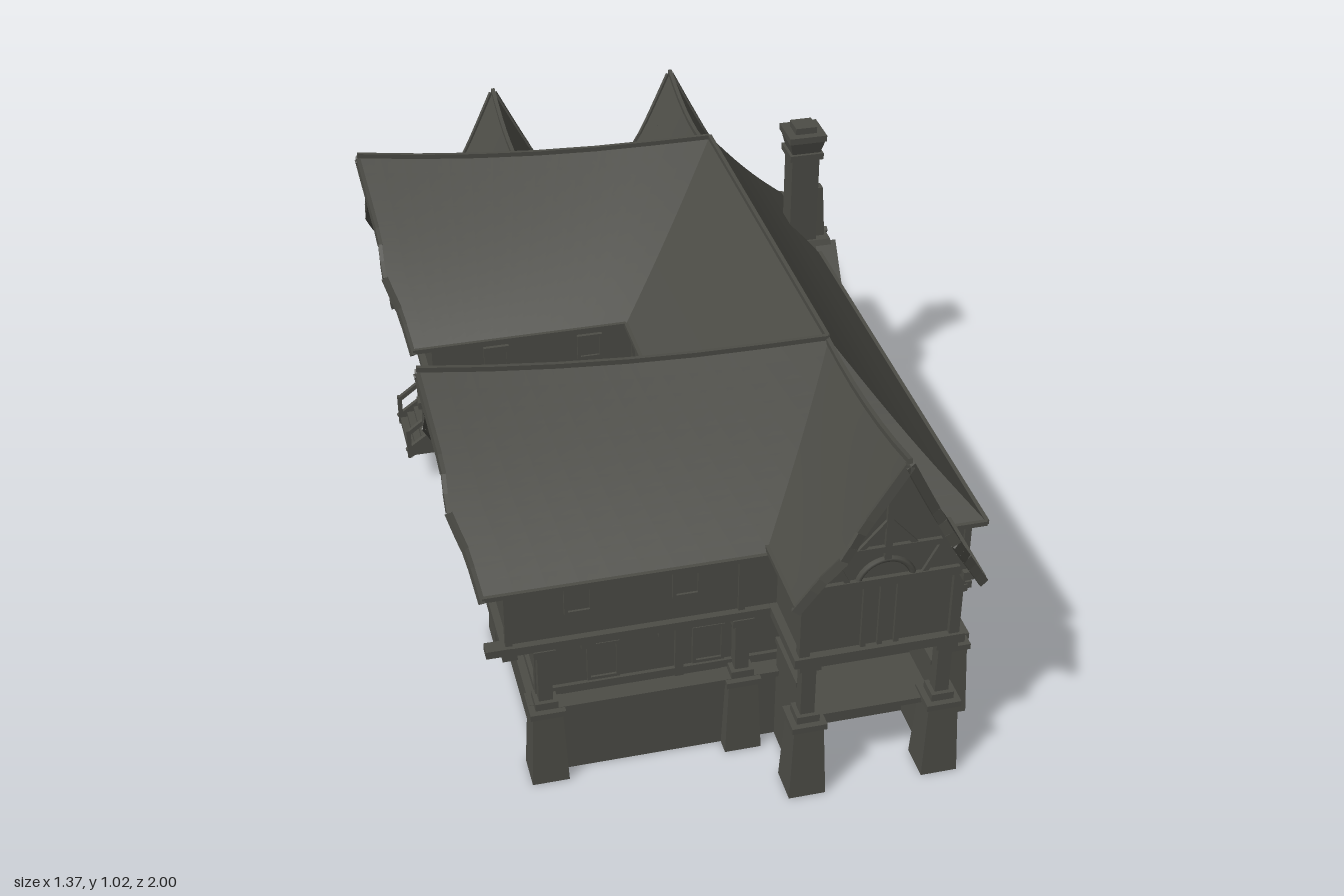
import * as THREE from 'three';

const V = (x, y, z) => new THREE.Vector3(x, y, z);
const lerp = THREE.MathUtils.lerp;

export function createModel() {
  const model = new THREE.Group();
  model.name = 'timberHouse';
  const stone = new THREE.MeshStandardMaterial({ color: 0x4c4c46 });
  stone.name = 'greyWall';
  // Same grey for open shells and thin roof sheets
  const shell = new THREE.MeshStandardMaterial({ color: 0x4c4c46, side: THREE.DoubleSide });
  shell.name = 'greyShell';

  const add = (name, geo, parent = model, mat = stone) => {
    const m = new THREE.Mesh(geo, mat);
    m.name = name;
    parent.add(m);
    return m;
  };
  const box = (name, x, y, z, w, h, d, parent = model) => {
    const m = add(name, new THREE.BoxGeometry(w, h, d), parent);
    m.position.set(x, y, z);
    return m;
  };
  // Square timber running between two points
  const beam = (name, a, b, w, h = w, parent = model) => {
    const m = new THREE.Mesh(new THREE.BoxGeometry(w, h, a.distanceTo(b)), stone);
    m.name = name;
    m.position.copy(a).lerp(b, 0.5);
    m.lookAt(b);
    parent.add(m);
    return m;
  };
  // Box narrowing towards its top
  const taper = (name, x, y, z, w, h, d, kx, kz) => {
    const g = new THREE.BoxGeometry(w, h, d), p = g.attributes.position;
    for (let i = 0; i < p.count; i++) {
      if (p.getY(i) > 0) p.setXYZ(i, p.getX(i) * kx, p.getY(i), p.getZ(i) * kz);
    }
    g.computeVertexNormals();
    const m = add(name, g);
    m.position.set(x, y + h / 2, z);
    return m;
  };

  // U-shaped footprints: left (front and back wing), right, front, back, courtyard sides
  const plan = (L, LB, R, F, B, ix, fi, bi) =>
    [[L, F], [R, F], [R, B], [LB, B], [LB, bi], [ix, bi], [ix, fi], [L, fi]];
  const plinth = plan(-0.48, -0.49, 0.57, 0.69, -0.91, 0.0, 0.16, -0.375);
  const lower = plan(-0.475, -0.36, 0.54, 0.665, -0.885, 0.02, 0.185, -0.4);
  const upper = plan(-0.545, -0.545, 0.56, 0.69, -0.9, 0.0, 0.15, -0.365);

  // Hollow walls without floor or ceiling
  const walls = (name, loop, y0, y1) => {
    const pos = [];
    loop.forEach(([x, z], i) => {
      const [a, b] = loop[(i + 1) % loop.length];
      pos.push(x, y0, z, a, y0, b, a, y1, b, x, y0, z, a, y1, b, x, y1, z);
    });
    const g = new THREE.BufferGeometry();
    g.setAttribute('position', new THREE.Float32BufferAttribute(pos, 3));
    g.computeVertexNormals();
    add(name, g, model, shell);
  };
  const band = (name, loop, y, w, h) => loop.forEach(([x, z], i) => {
    const [a, b] = loop[(i + 1) % loop.length];
    beam(name, V(x, y, z), V(a, y, b), w, h);
  });
  walls('plinth', plinth, 0, 0.21);
  walls('lowerWalls', lower, 0.2, 0.4);
  const g = new THREE.ExtrudeGeometry(new THREE.Shape(upper.map(p => new THREE.Vector2(...p))),
    { depth: 0.2, bevelEnabled: false });
  add('upperWalls', g.rotateX(Math.PI / 2)).position.y = 0.595;
  band('plinthLedge', plinth, 0.208, 0.045, 0.016);
  band('sillBeam', lower, 0.235, 0.02, 0.02);
  band('headBeam', lower, 0.375, 0.02, 0.016);
  band('jettyBeam', upper, 0.4, 0.035, 0.022);
  band('wallPlate', upper, 0.58, 0.02, 0.02);
  // Jetty beams running out past the wing ends
  for (const z of [-0.9, -0.365, 0.15, 0.69]) box('jettyEnd', -0.57, 0.402, z, 0.06, 0.02, 0.035);

  // Studs and joist ends at regular steps along both storeys
  const studs = (name, loop, y0, y1, step, w) => loop.forEach(([x, z], i) => {
    const [a, b] = loop[(i + 1) % loop.length];
    const n = Math.max(1, Math.round(Math.hypot(a - x, b - z) / step));
    for (let k = 0; k < n; k++) {
      const px = lerp(x, a, k / n), pz = lerp(z, b, k / n);
      box(name, px, (y0 + y1) / 2, pz, w, y1 - y0, w);
    }
  });
  studs('lowerStud', lower, 0.22, 0.39, 0.34, 0.02);
  studs('upperStud', upper, 0.41, 0.58, 0.55, 0.016);
  studs('joistEnd', upper, 0.376, 0.395, 0.18, 0.035);

  // Stone piers with capped posts
  const pier = (x, z) => {
    taper('pier', x, 0, z, 0.09, 0.2, 0.09, 0.8, 0.8);
    box('pierCap', x, 0.207, z, 0.085, 0.016, 0.085);
    box('postFoot', x, 0.225, z, 0.055, 0.02, 0.055);
    box('post', x, 0.305, z, 0.034, 0.16, 0.034);
    box('postHead', x, 0.38, z, 0.052, 0.02, 0.052);
  };
  [[-0.465, 0.685], [0.01, 0.685], [0.54, 0.685], [0.55, 0.195], [0.55, -0.405], [0.55, -0.89],
    [0.02, -0.89], [-0.465, -0.89], [-0.465, -0.39], [-0.465, 0.17], [0.115, 0.875], [0.445, 0.875]]
    .forEach(p => pier(...p));

  // Open veranda at the end of the back wing
  box('verandaFloor', -0.425, 0.2, -0.642, 0.13, 0.015, 0.53);
  for (const z of [-0.89, -0.39]) {
    box('verandaRail', -0.41, 0.3, z, 0.1, 0.014, 0.014);
    box('verandaRail', -0.41, 0.255, z, 0.1, 0.01, 0.01);
  }
  for (const z of [-0.81, -0.475]) {
    box('verandaRail', -0.465, 0.3, z, 0.014, 0.014, 0.14);
    for (const o of [-0.04, 0, 0.04]) box('baluster', -0.465, 0.255, z + o, 0.01, 0.09, 0.01);
  }

  // Front porch with a room above
  for (const x of [0.115, 0.445]) {
    box('porchWall', x, 0.15, 0.775, 0.03, 0.3, 0.17);
    box('porchRail', x, 0.298, 0.775, 0.04, 0.014, 0.17);
    box('porchRoomPost', x < 0.28 ? 0.1 : 0.46, 0.5, 0.885, 0.025, 0.2, 0.025);
    box('porchPurlin', x < 0.28 ? 0.09 : 0.47, 0.598, 0.83, 0.025, 0.022, 0.19);
  }
  box('porchFloor', 0.28, 0.2, 0.775, 0.33, 0.015, 0.2);
  box('porchRoom', 0.28, 0.5, 0.785, 0.37, 0.21, 0.2);
  box('porchJetty', 0.28, 0.4, 0.8, 0.41, 0.025, 0.21);
  box('porchDoor', 0.28, 0.3, 0.667, 0.13, 0.17, 0.012);
  for (const o of [-0.04, 0, 0.04]) box('porchWindowPost', 0.28 + o, 0.5, 0.888, 0.012, 0.18, 0.012);

  // Framed windows; ry turns the frame to its wall
  const windowAt = (x, y, z, ry, w = 0.06, h = 0.065) => {
    const f = new THREE.Group();
    f.name = 'window';
    f.position.set(x, y, z);
    f.rotation.y = ry;
    box('pane', 0, 0, 0, w, h, 0.008, f);
    for (const s of [-1, 1]) {
      box('frameSide', s * w / 2, 0, 0.003, 0.008, h, 0.014, f);
      box('frameEdge', 0, s * h / 2, 0.003, w + 0.008, 0.008, 0.014, f);
    }
    model.add(f);
  };
  const q = Math.PI / 2;
  for (const z of [0.545, 0.42, 0.3, 0.06, -0.27, -0.435, -0.81]) windowAt(0.56, 0.515, z, q);
  windowAt(0.56, 0.515, -0.1, q, 0.12);
  for (const x of [-0.38, -0.125]) {
    windowAt(x, 0.515, 0.69, 0);
    windowAt(x, 0.515, 0.15, 2 * q);
    windowAt(x, 0.515, -0.365, 0);
    windowAt(x + 0.06, 0.305, 0.665, 0, 0.07, 0.1);
  }
  for (const x of [-0.42, -0.256, -0.09, 0.09, 0.256, 0.42]) windowAt(x, 0.515, -0.9, 2 * q);
  for (const z of [0.3, 0.54, -0.52, -0.76]) windowAt(-0.545, 0.515, z, -q);
  for (const z of [-0.25, -0.1, 0.04]) windowAt(0, 0.515, z, -q);
  for (const z of [0.32, 0.52]) windowAt(0.54, 0.305, z, q, 0.07, 0.1);
  box('courtyardDoor', 0.016, 0.295, -0.11, 0.012, 0.16, 0.1);
  box('wingDoor', -0.364, 0.295, -0.642, 0.012, 0.16, 0.1);

  // Roof slope ruled from ridge to eave; a gable end has a ragged lobe in its edge
  const slope = (name, ridge, eave, axis, isGable) => {
    const at = (u, v) => {
      const a = ridge(u), b = eave(u), p = a.clone().lerp(b, v);
      p.y -= 0.012 * Math.sin(Math.PI * v);
      if (isGable) p[axis] += Math.sign(a[axis] - b[axis]) * u ** 12 * 0.015 * Math.exp(-(((v - 0.58) / 0.12) ** 2));
      return p;
    };
    const nu = 16, nv = 12, pos = [], idx = [];
    for (let i = 0; i <= nu; i++) for (let j = 0; j <= nv; j++) {
      pos.push(...at(i / nu, j / nv).toArray());
      const k = i * (nv + 1) + j;
      if (i < nu && j < nv) idx.push(k, k + 1, k + nv + 1, k + 1, k + nv + 2, k + nv + 1);
    }
    const geo = new THREE.BufferGeometry();
    geo.setAttribute('position', new THREE.Float32BufferAttribute(pos, 3));
    geo.setIndex(idx);
    geo.computeVertexNormals();
    add(name, geo, model, shell);
    const low = V(0, -0.011, 0);
    for (let k = 0; k < 12; k++) {
      if (isGable) beam('bargeBoard', at(1, k / 12).add(low), at(1, (k + 1) / 12).add(low), 0.01, 0.022);
      if (k % 2) beam('ridgeTile', ridge((k - 1) / 12), ridge((k + 1) / 12), 0.01, 0.012);
    }
    beam('eaveBoard', eave(0), eave(1), 0.01, 0.012);
  };
  const ridgeY = x => 0.957 + 0.06 * Math.max(0, (0.1 - x) / 0.78) ** 2;
  for (const [zr, zo, zi] of [[-0.642, -0.945, -0.333], [0.425, 0.73, 0.116]]) {
    const ridge = u => { const x = lerp(0.28, -0.678, u); return V(x, ridgeY(x), zr); };
    slope('wingRoofOuter', ridge, u => V(lerp(0.59, -0.605, u), 0.585, zo), 'x', true);
    slope('wingRoofInner', ridge, u => V(lerp(-0.03, -0.605, u), 0.585, zi), 'x', true);
  }
  const spine = u => V(0.28, 0.957, lerp(-0.642, 0.425, u));
  slope('spineRoofOuter', spine, u => V(0.59, 0.585, lerp(-0.945, 0.73, u)), 'z', false);
  slope('spineRoofInner', spine, u => V(-0.03, 0.585, lerp(-0.333, 0.116, u)), 'z', false);
  // Cross gables: porch and two at the back
  for (const [x, z0, z1, ze, half, ey] of [[0.28, 0.425, 0.995, 0.94, 0.22, 0.598],
    [-0.256, -0.642, -0.995, -0.945, 0.21, 0.615], [0.256, -0.642, -0.995, -0.945, 0.21, 0.615]]) {
    const ridge = u => V(x, 0.95 - 0.04 * u + 0.085 * u * u, lerp(z0, z1, u));
    for (const s of [-1, 1]) slope('gableRoof', ridge, u => V(x + s * half, ey, lerp(z0, ze, u)), 'z', true);
  }

  // Timbered gable walls
  const gable = (x, y, z, ry, half, h) => {
    const f = new THREE.Group();
    f.name = 'gableWall';
    f.position.set(x, y, z);
    f.rotation.y = ry;
    const s = new THREE.Shape([new THREE.Vector2(-half, 0), new THREE.Vector2(half, 0), new THREE.Vector2(0, h)]);
    add('gablePanel', new THREE.ExtrudeGeometry(s, { depth: 0.02, bevelEnabled: false }), f);
    beam('tieBeam', V(-half, 0.008, 0.02), V(half, 0.008, 0.02), 0.022, 0.022, f);
    beam('collar', V(-half * 0.72, h * 0.28, 0.022), V(half * 0.72, h * 0.28, 0.022), 0.016, 0.016, f);
    beam('kingPost', V(0, h * 0.2, 0.022), V(0, h * 0.95, 0.022), 0.016, 0.016, f);
    for (const k of [-1, 1]) {
      beam('rafter', V(k * half, 0, 0.022), V(0, h, 0.022), 0.018, 0.018, f);
      beam('brace', V(0, h * 0.5, 0.022), V(k * half * 0.35, h * 0.28, 0.022), 0.012, 0.012, f);
      beam('strut', V(k * half * 0.42, 0, 0.022), V(k * half * 0.68, h * 0.28, 0.022), 0.012, 0.012, f);
    }
    add('arch', new THREE.TorusGeometry(half * 0.34, 0.008, 6, 16, Math.PI), f).position.z = 0.022;
    model.add(f);
  };
  gable(0.28, 0.6, 0.88, 0, 0.195, 0.35);
  for (const x of [-0.256, 0.256]) gable(x, 0.61, -0.9, 2 * q, 0.19, 0.34);
  for (const z of [-0.637, 0.425]) gable(-0.54, 0.59, z, -q, 0.265, 0.38);

  // Steps with side rails descending towards -x
  const stair = (xt, z) => {
    for (let i = 0; i < 6; i++) {
      const h = 0.1 - i * 0.016;
      box('step', xt - 0.01 - i * 0.02, 0.1 + h / 2, z, 0.02, h, 0.17);
    }
    for (const s of [-1, 1]) {
      const rz = z + s * 0.09;
      beam('handrail', V(xt, 0.27, rz), V(xt - 0.12, 0.18, rz), 0.012);
      beam('stringer', V(xt, 0.2, rz), V(xt - 0.12, 0.115, rz), 0.012, 0.03);
      for (const t of [0, 0.5, 1]) box('railPost', xt - 0.118 * t, 0.225 - 0.08 * t, rz, 0.012, 0.09, 0.012);
    }
  };
  stair(-0.495, -0.642);
  stair(-0.02, -0.115);

  // Chimney
  const cz = -0.633;
  taper('chimneyBase', 0.602, 0, cz, 0.157, 0.21, 0.24, 0.9, 0.95);
  box('chimneyLedge', 0.602, 0.21, cz, 0.15, 0.02, 0.29);
  taper('chimneyBreast', 0.585, 0.22, cz, 0.12, 0.27, 0.235, 0.8, 0.8);
  box('chimneyBand', 0.59, 0.49, cz, 0.1, 0.02, 0.21);
  taper('chimneyShoulder', 0.58, 0.49, cz, 0.11, 0.13, 0.185, 0.8, 0.45);
  taper('chimneyFin', 0.595, 0.6, cz, 0.04, 0.17, 0.035, 0.5, 0.8);
  for (const s of [-1, 1]) beam('shoulderCoping', V(0.61, 0.61, cz + s * 0.035), V(0.61, 0.49, cz + s * 0.12), 0.06, 0.014);
  box('chimneyStack', 0.545, 0.74, cz, 0.078, 0.42, 0.07);
  box('chimneyCollar', 0.545, 0.885, cz, 0.095, 0.018, 0.09);
  taper('chimneyNeck', 0.545, 0.895, cz, 0.08, 0.04, 0.075, 1.25, 1.3);
  box('chimneyCap', 0.545, 0.942, cz, 0.105, 0.018, 0.105);
  box('chimneyPot', 0.545, 0.958, cz, 0.06, 0.022, 0.06);
  return model;
}
